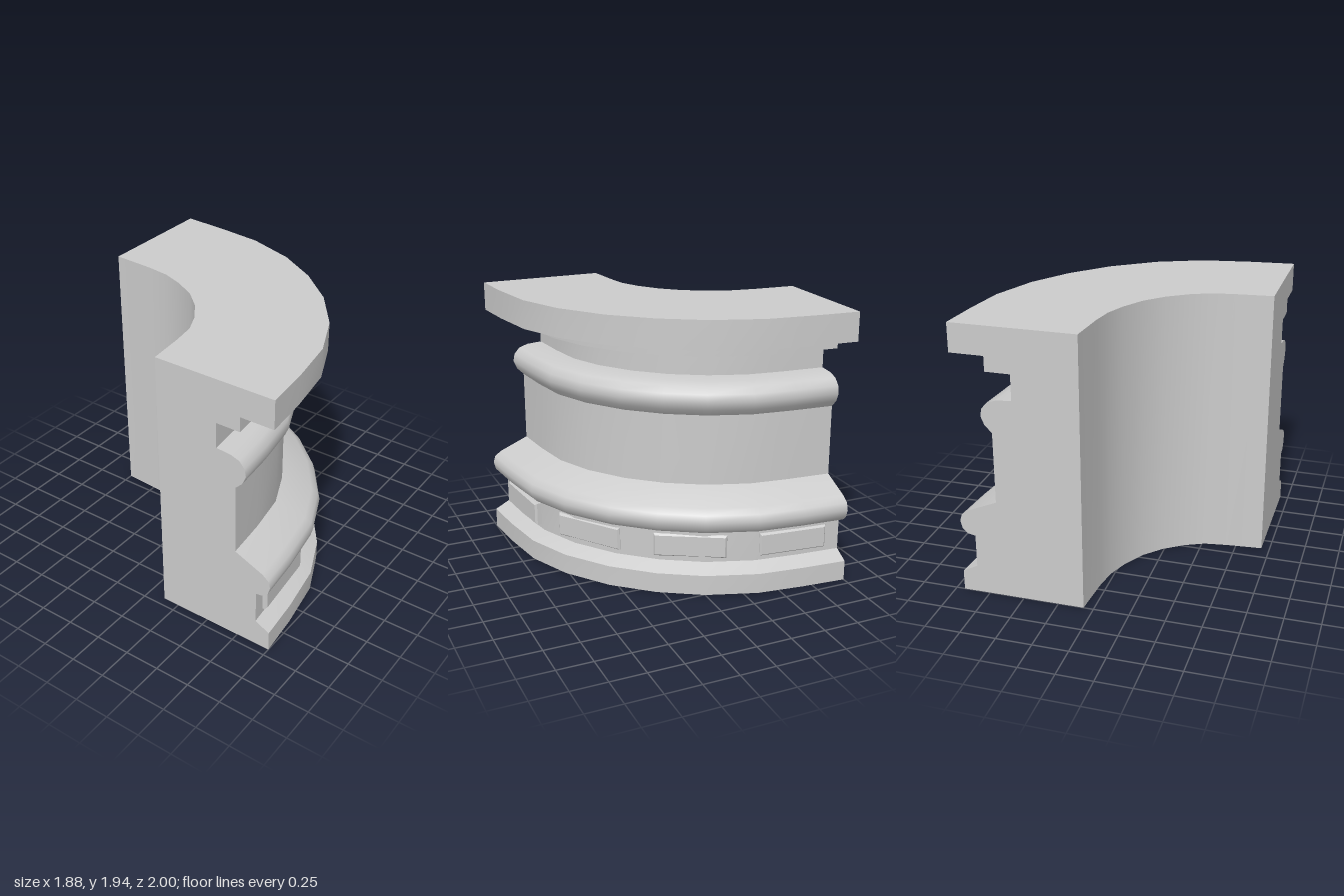
import * as THREE from 'three';
import { toCreasedNormals } from 'three/addons/utils/BufferGeometryUtils.js';

const WIDTH = 0.87;

// Plan of the curved wall: matching inner and outer points [x, z], right end to left end
const INNER = [[0.07, -1], [0.05, -0.7], [0.025, -0.53], [-0.03, -0.38], [-0.12, -0.215],
  [-0.24, -0.085], [-0.38, 0.015], [-0.52, 0.08], [-0.68, 0.105], [-0.94, 0.13]];
const OUTER = [[0.94, -1], [0.915, -0.68], [0.875, -0.35], [0.755, 0], [0.58, 0.29],
  [0.35, 0.55], [0.055, 0.77], [-0.265, 0.91], [-0.63, 0.97], [-0.94, 1]];

// Cross-section [distance from the inner face, height]
const PROFILE = [
  [0, 0], [0.87, 0], [0.87, 0.145], [0.765, 0.2],                        // plinth
  [0.765, 0.435], [0.82, 0.445], [0.855, 0.48], [0.87, 0.535],           // lower roll
  [0.855, 0.585], [0.81, 0.62], [0.6, 0.71],
  [0.6, 1.215], [0.65, 1.265], [0.675, 1.325], [0.665, 1.38],            // neck and upper roll
  [0.625, 1.425], [0.56, 1.447], [0.455, 1.455],
  [0.455, 1.635], [0.63, 1.635], [0.63, 1.74], [0.87, 1.74],             // stepped cornice
  [0.87, 1.942], [0, 1.942],
];

// Face lines of the raised panels, each from left to right [x, z]
const PANELS = [
  [[-0.83, 0.915], [-0.34, 0.866]],
  [[-0.095, 0.757], [0.305, 0.47]],
  [[0.495, 0.265], [0.73, -0.16]],
  [[0.797, -0.41], [0.845, -0.88]],
];

function mouldedWall(material) {
  const shape = new THREE.Shape(PROFILE.map(([w, y]) => new THREE.Vector2(w, y)));
  const last = INNER.length - 1;
  const geo = new THREE.ExtrudeGeometry(shape, { depth: last, steps: last, bevelEnabled: false });
  // Bend the straight extrusion onto the plan
  const pos = geo.attributes.position;
  for (let k = 0; k < pos.count; k++) {
    const i = Math.round(pos.getZ(k));
    const t = pos.getX(k) / WIDTH;
    pos.setX(k, THREE.MathUtils.lerp(INNER[i][0], OUTER[i][0], t));
    pos.setZ(k, THREE.MathUtils.lerp(INNER[i][1], OUTER[i][1], t));
  }
  const mesh = new THREE.Mesh(toCreasedNormals(geo, THREE.MathUtils.degToRad(38)), material);
  mesh.name = 'mouldedWall';
  return mesh;
}

function raisedPanel([a, b], material) {
  const dx = b[0] - a[0], dz = b[1] - a[1];
  const w = Math.hypot(dx, dz) / 2, h = 0.072;
  const shape = new THREE.Shape([[-w, -h], [w, -h], [w, h], [-w, h]].map((p) => new THREE.Vector2(...p)));
  const geo = new THREE.ExtrudeGeometry(shape, {
    depth: 0.07, bevelSize: 0.012, bevelThickness: 0.015, bevelSegments: 1,
  });
  geo.translate(0, 0, -0.085);
  const mesh = new THREE.Mesh(geo, material);
  mesh.position.set((a[0] + b[0]) / 2, 0.317, (a[1] + b[1]) / 2);
  mesh.rotation.y = Math.atan2(-dz, dx);
  mesh.name = 'raisedPanel';
  return mesh;
}

export function createModel() {
  const group = new THREE.Group();
  group.name = 'curvedPedestalSection';
  const material = new THREE.MeshStandardMaterial({ color: 0xcccccc });
  group.add(mouldedWall(material));
  for (const line of PANELS) group.add(raisedPanel(line, material));
  return group;
}
